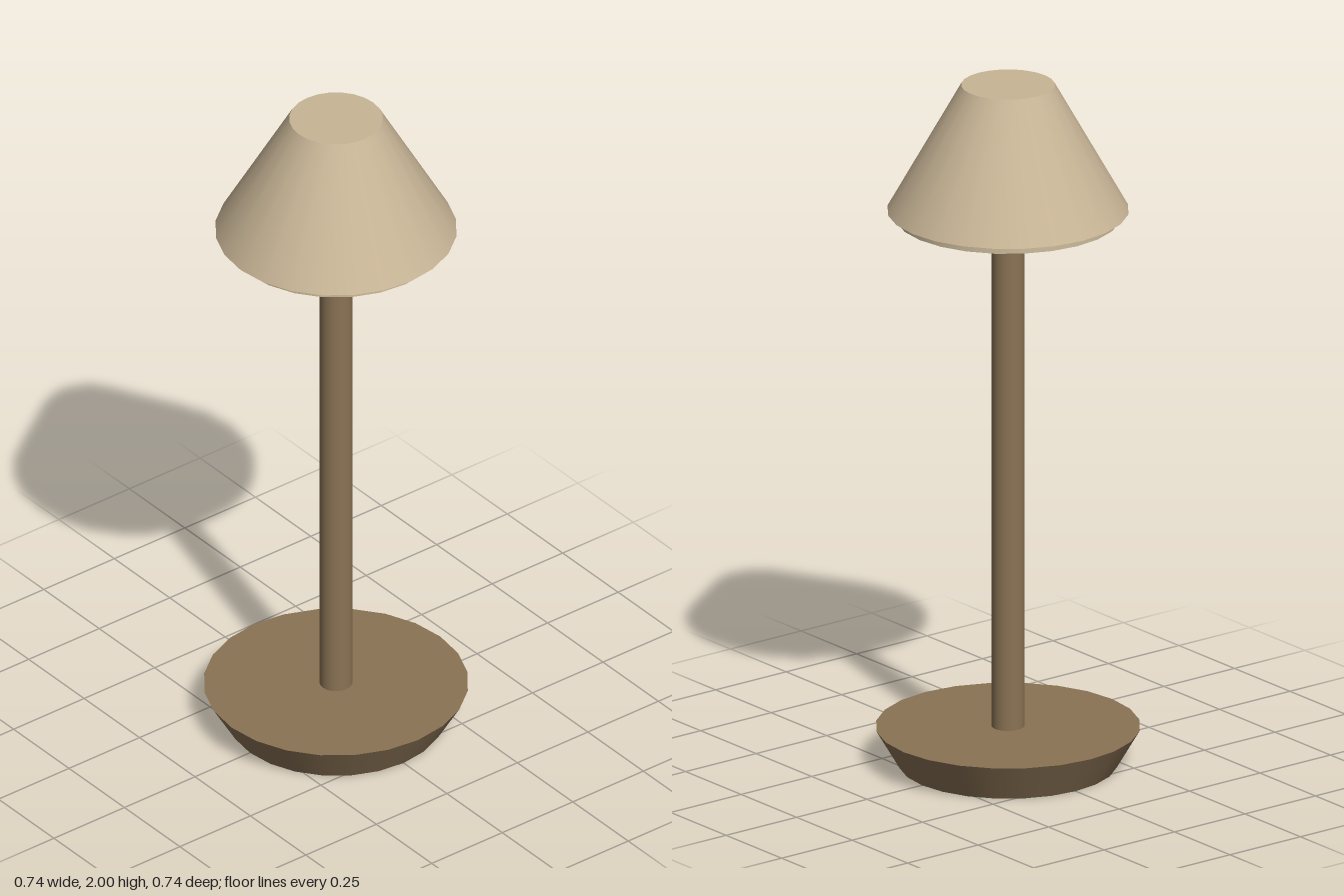
import * as THREE from 'three';

const SIDES = 24;

export function createModel() {
  const lamp = new THREE.Group();
  lamp.name = 'tableLamp';

  const material = (name, color) => {
    const m = new THREE.MeshStandardMaterial({ color });
    m.name = name;
    return m;
  };
  const bronze = material('bronze', 0x8b7355);
  const brass = material('brass', 0xc4955a);
  const linen = material('linen', 0xc8b596);
  const cream = material('cream', 0xcdbd9c);

  // Adds a closed round part spanning two heights
  const round = (name, mat, bottomRadius, topRadius, y0, y1) => {
    const geometry = new THREE.CylinderGeometry(topRadius, bottomRadius, y1 - y0, SIDES);
    const mesh = new THREE.Mesh(geometry, mat);
    mesh.name = name;
    mesh.position.y = (y0 + y1) / 2;
    lamp.add(mesh);
  };

  // Base flares outward towards its top
  round('base', bronze, 0.305, 0.37, 0, 0.111);
  round('stem', bronze, 0.046, 0.046, 0.111, 1.612);
  round('collar', brass, 0.072, 0.072, 1.538, 1.574);

  // Diffuser disc closes the shade from below
  round('diffuser', cream, 0.313, 0.313, 1.608, 1.632);
  round('shade', linen, 0.338, 0.131, 1.631, 2);

  return lamp;
}
